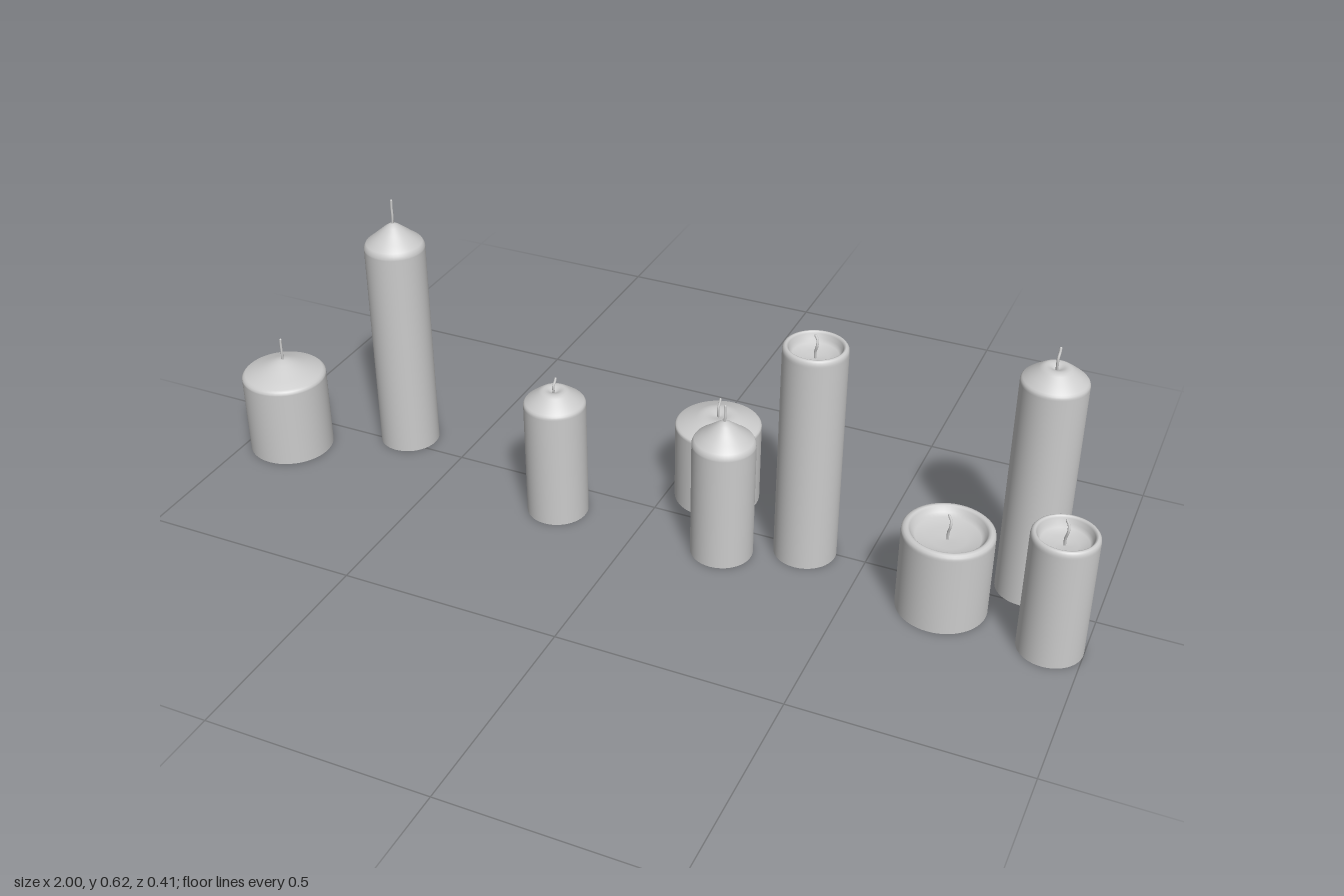
import * as THREE from 'three';

const material = new THREE.MeshStandardMaterial({ color: 0xcccccc, side: THREE.DoubleSide });

// Top outlines, as [fraction of radius, height above the shoulder as a fraction of the rise]
const tops = {
  pointed: [[0.97, 0.1], [0.92, 0.2], [0.7, 0.41], [0.45, 0.66], [0.25, 0.86], [0.12, 0.96], [0, 1]],
  domed: [[0.98, 0.1], [0.94, 0.2], [0.75, 0.5], [0.5, 0.86], [0.42, 0.95], [0.33, 1], [0.2, 0.96], [0.08, 0.8], [0, 0.75]],
  hollow: [[0.99, 0.5], [0.95, 0.85], [0.9, 1], [0.86, 0.95], [0.82, 0.6], [0.78, -0.3], [0.7, -1.0], [0.4, -1.5], [0, -1.7]],
};

// Sideways bends of each wick, as [x, y fraction, z]
const bends = {
  pointed: [[0, 0, 0], [0.001, 0.35, 0], [0, 0.7, -0.001], [0, 1, -0.002]],
  domed: [[0, 0, 0], [0, 0.3, 0.003], [0, 0.6, 0.003], [0.001, 0.85, -0.003], [0.001, 1, -0.006]],
  hollow: [[0, 0, 0], [0, 0.35, 0.002], [0.004, 0.65, 0.004], [0.003, 0.85, 0], [-0.003, 1, -0.004]],
};

function makeCandle({ name, type, x, z, r, shoulder, top, wickTop }) {
  const candle = new THREE.Group();
  candle.name = name;
  candle.position.set(x, 0, z);
  const rise = top - shoulder;

  // Wax: separate pieces keep the bottom edge sharp
  const profile = [[r, 0], [r, shoulder - 0.004], [r, shoulder]]
    .concat(tops[type].map(([f, h]) => [f * r, shoulder + h * rise]))
    .map(([a, b]) => new THREE.Vector2(a, b));
  const wax = new THREE.Mesh(new THREE.LatheGeometry(profile, 48), material);
  wax.name = 'wax';
  const base = new THREE.Mesh(new THREE.CircleGeometry(r, 48).rotateX(Math.PI / 2), material);
  base.name = 'base';

  // Wick: a thin bent tube with a closed tip
  const wickBase = profile[profile.length - 1].y - 0.003;
  const path = new THREE.CatmullRomCurve3(
    bends[type].map(([a, t, c]) => new THREE.Vector3(a, wickBase + t * (wickTop - wickBase), c)));
  const wick = new THREE.Mesh(new THREE.TubeGeometry(path, 20, 0.0028, 8), material);
  wick.name = 'wick';
  const tip = new THREE.Mesh(new THREE.SphereGeometry(0.0028, 8, 6), material);
  tip.name = 'wickTip';
  tip.position.copy(path.getPoint(1));

  candle.add(wax, base, wick, tip);
  return candle;
}

export function createModel() {
  const group = new THREE.Group();
  group.name = 'candles';
  const wide = 0.097, slim = 0.069;
  [
    { name: 'shortPointedCandle', type: 'pointed', x: -0.903, z: 0.106, r: wide, shoulder: 0.19, top: 0.23, wickTop: 0.28 },
    { name: 'tallPointedCandle', type: 'pointed', x: -0.659, z: -0.033, r: slim, shoulder: 0.51, top: 0.568, wickTop: 0.622 },
    { name: 'mediumDomedCandle', type: 'domed', x: -0.2, z: 0.088, r: slim, shoulder: 0.278, top: 0.313, wickTop: 0.337 },
    { name: 'shortDomedCandle', type: 'domed', x: 0.107, z: -0.11, r: wide, shoulder: 0.188, top: 0.214, wickTop: 0.25 },
    { name: 'mediumPointedCandle', type: 'pointed', x: 0.198, z: 0.084, r: slim, shoulder: 0.278, top: 0.333, wickTop: 0.368 },
    { name: 'tallHollowCandle', type: 'hollow', x: 0.365, z: 0.011, r: slim, shoulder: 0.506, top: 0.517, wickTop: 0.537 },
    { name: 'shortHollowCandle', type: 'hollow', x: 0.691, z: 0.075, r: wide, shoulder: 0.187, top: 0.197, wickTop: 0.226 },
    { name: 'tallDomedCandle', type: 'domed', x: 0.841, z: -0.059, r: slim, shoulder: 0.51, top: 0.545, wickTop: 0.583 },
    { name: 'mediumHollowCandle', type: 'hollow', x: 0.931, z: 0.116, r: slim, shoulder: 0.274, top: 0.285, wickTop: 0.311 },
  ].forEach((spec) => group.add(makeCandle(spec)));
  return group;
}
